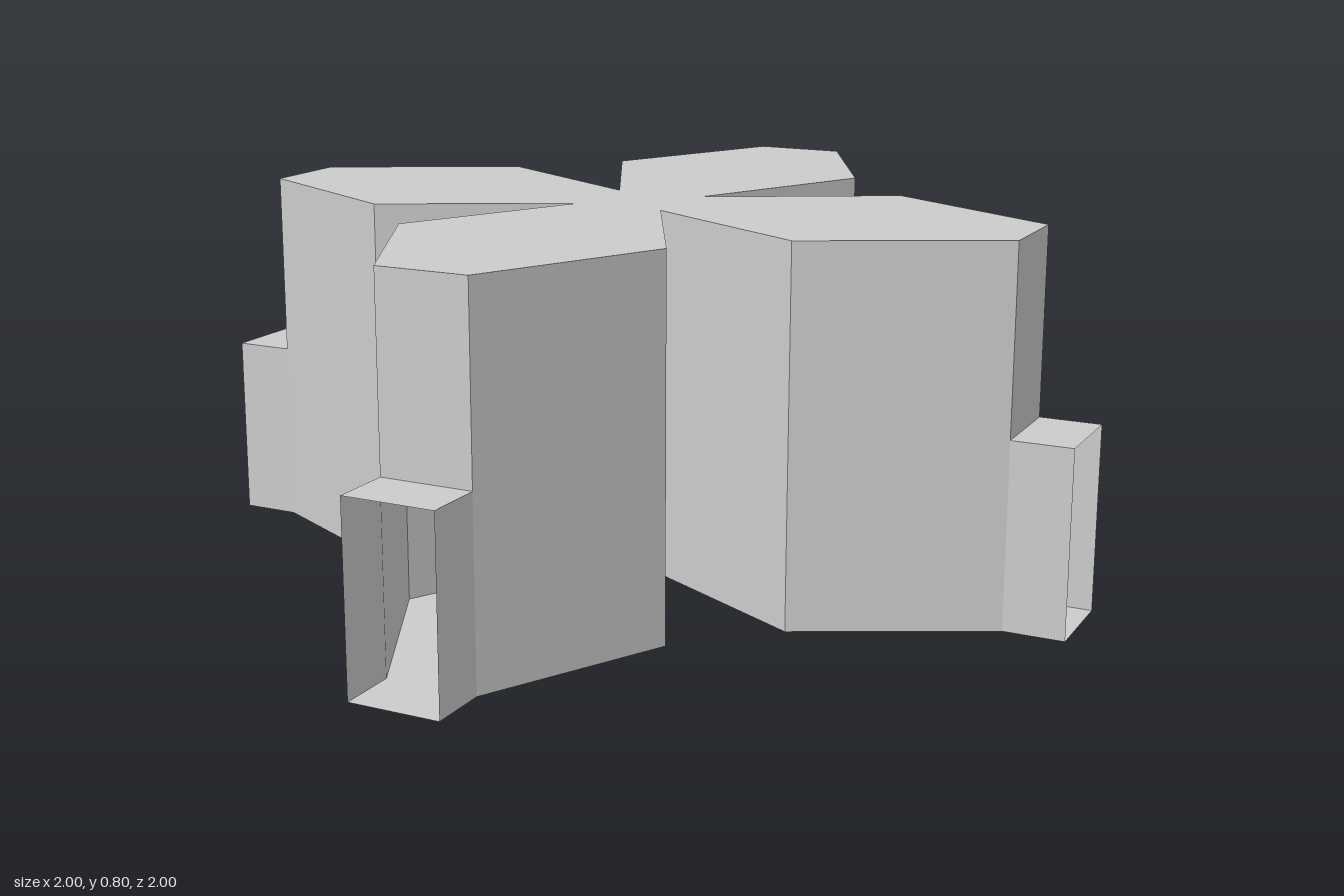
import * as THREE from 'three';
import { mergeGeometries } from 'three/addons/utils/BufferGeometryUtils.js';

const HEIGHT = 0.8, DOOR = 0.4;

// Floor outline as [x, z], counter-clockwise from above; every fifth edge is a doorway end.
const PLAN = [
  [0.87, 0.1], [0.87, -0.1], [0.48, -0.31], [0.1, -0.1], [0.3, -0.5],
  [0.1, -0.89], [-0.1, -0.89], [-0.3, -0.5], [-0.1, -0.1], [-0.48, -0.31],
  [-0.87, -0.1], [-0.87, 0.1], [-0.48, 0.3], [-0.1, 0.1], [-0.3, 0.48],
  [-0.1, 0.87], [0.1, 0.87], [0.3, 0.48], [0.1, 0.1], [0.48, 0.3],
];

// Upright rectangle above the floor edge a-b, facing outward.
function wall(a, b, y0, y1) {
  const g = new THREE.PlaneGeometry(1, 1);
  const p = g.attributes.position;
  for (let i = 0; i < 4; i++) {
    const [x, z] = p.getX(i) < 0 ? a : b;
    p.setXYZ(i, x, p.getY(i) < 0 ? y0 : y1, z);
  }
  g.computeVertexNormals();
  return g;
}

// Flat slab of the outline, facing up (roof) or down (floor).
function slab(points, y, up) {
  const s = up ? -1 : 1;
  const shape = new THREE.Shape(points.map(([x, z]) => new THREE.Vector2(x, s * z)));
  return new THREE.ShapeGeometry(shape).rotateX(s * Math.PI / 2).translate(0, y, 0);
}

// Hollow shell; base(i) gives the height at which wall i starts.
function shell(name, points, height, base, material) {
  const parts = [slab(points, 0, false), slab(points, height, true)];
  points.forEach((a, i) => {
    const y0 = base(i);
    if (y0 < height) parts.push(wall(a, points[(i + 1) % points.length], y0, height));
  });
  const mesh = new THREE.Mesh(mergeGeometries(parts), material);
  mesh.name = name;
  return mesh;
}

export function createModel() {
  const group = new THREE.Group();
  group.name = 'crossHall';
  const material = new THREE.MeshStandardMaterial({
    color: 0xcccccc, flatShading: true, side: THREE.DoubleSide,
  });

  // Four-armed hall, open below door height at each arm's end
  group.add(shell('hall', PLAN, HEIGHT, i => (i % 5 === 0 ? DOOR : 0), material));

  // Low porch tunnels, open at both ends
  ['leftPorch', 'backPorch', 'rightPorch', 'frontPorch'].forEach((name, k) => {
    const a = PLAN[k * 5], b = PLAN[k * 5 + 1];
    const out = ([x, z]) => (k % 2 ? [x, Math.sign(z)] : [Math.sign(x), z]);
    group.add(shell(name, [a, out(a), out(b), b], DOOR, i => (i % 2 ? DOOR : 0), material));
  });
  return group;
}
